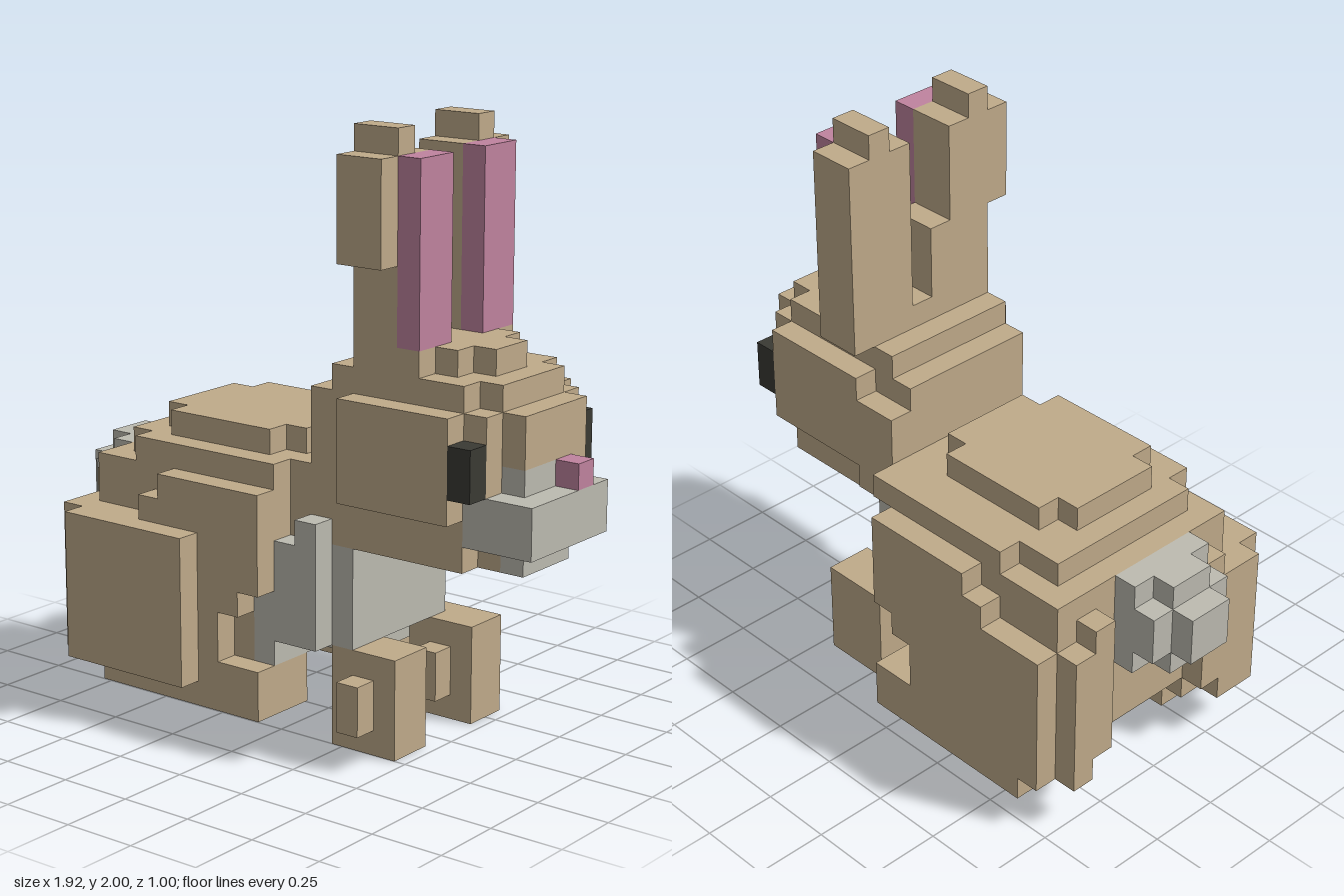
import * as THREE from 'three';
import { mergeGeometries } from 'three/addons/utils/BufferGeometryUtils.js';

const V = 1 / 12; // edge of one block

const flat = (name, color) => {
  const m = new THREE.MeshStandardMaterial({ color });
  m.name = name;
  return m;
};

// One block given by its limits in grid cells: x0, x1, y0, y1, z0, z1
function block([x0, x1, y0, y1, z0, z1]) {
  const g = new THREE.BoxGeometry((x1 - x0) * V, (y1 - y0) * V, (z1 - z0) * V);
  g.translate(((x0 + x1) / 2 - 11.5) * V, ((y0 + y1) / 2) * V, ((z0 + z1) / 2 - 6) * V);
  return g;
}

export function createModel() {
  const model = new THREE.Group();
  model.name = 'rabbit';
  const fur = flat('tan fur', 0xc0ab8a);
  const pale = flat('pale grey fur', 0xbdbbb1);
  const pink = flat('pink', 0xc0839f);
  const dark = flat('dark eye', 0x3a3a34);

  const part = (name, material, ...boxes) => {
    const mesh = new THREE.Mesh(mergeGeometries(boxes.map(block)), material);
    mesh.name = name;
    model.add(mesh);
  };

  // Trunk, stepped towards the top
  part('body', fur,
    [3, 11, 3, 10, 2, 9],
    [5, 10, 2, 3, 4, 7],
    [11, 12, 8, 10, 2, 10],
    [4, 12, 10, 11, 2, 9],
    [5, 12, 10, 11, 9, 10],
    [5, 12, 11, 12, 4, 8],
    [6, 11, 11, 12, 3, 9]);
  part('neck', fur,
    [12, 13, 8, 11, 2, 9],
    [13, 14, 8, 10, 3, 8],
    [6, 13, 10, 11, 1, 2]);

  // Haunches: an outer slab and an inner slab on each side, mirrored about z = 5.5
  for (const [name, m] of [['nearHaunch', true], ['farHaunch', false]]) {
    const b = (x0, x1, y0, y1, z0, z1) =>
      m ? [x0, x1, y0, y1, 11 - z1, 11 - z0] : [x0, x1, y0, y1, z0, z1];
    part(name, fur,
      b(3, 10, 2, 8, 0, 1),
      b(10, 11, 5, 8, 0, 1),
      b(11, 12, 6, 8, 0, 1),
      b(6, 12, 8, 9, 0, 1),
      b(7, 12, 9, 10, 0, 1),
      b(2, 3, 2, 8, 1, 2),
      b(2, 3, 3, 9, 2, 3),
      b(3, 11, 2, 10, 1, 2),
      b(11, 12, 6, 10, 1, 2),
      b(3, 10, 2, 4, 2, 3));
    part(m ? 'nearHindFoot' : 'farHindFoot', fur, b(4, 12, 1, 3, 0, 3));
  }
  part('nearThighPanel', fur, [3, 9, 2, 8, 11, 12], [2, 3, 2, 8, 10, 11]);

  // Pale chest
  part('chest', pale,
    [11, 14, 4, 8, 2, 10],
    [14, 15, 4, 8, 3, 9],
    [11, 12, 3, 4, 2, 10],
    [12, 14, 3, 4, 4, 7],
    [13, 14, 8, 9, 8, 10]);

  // Tail
  part('tail', pale,
    [1, 3, 7, 9, 4, 8],
    [1, 3, 6, 10, 5, 7],
    [2, 3, 6, 10, 4, 8],
    [0, 1, 7, 9, 5, 7]);

  // Front paws with a small side bump
  part('nearFrontPaw', fur, [14, 17, 0, 4, 7, 9], [15, 16, 1, 3, 9, 10]);
  part('farFrontPaw', fur, [14, 17, 0, 4, 2, 4], [15, 16, 1, 3, 4, 5]);

  // Head, a stepped dome
  part('head', fur,
    [14, 20, 8, 9, 3, 9],
    [20, 21, 8, 9, 4, 8],
    [13, 20, 9, 14, 3, 9],
    [20, 21, 9, 11, 3, 4],
    [20, 21, 11, 14, 3, 9],
    [21, 22, 11, 12, 4, 6],
    [21, 22, 12, 14, 4, 8],
    [14, 20, 14, 15, 3, 9],
    [20, 21, 14, 15, 4, 8],
    [15, 18, 15, 16, 3, 9],
    [18, 19, 15, 16, 4, 8],
    [19, 20, 15, 16, 5, 7]);
  part('nearCheek', fur, [15, 20, 10, 14, 9, 10]);
  part('farCheek', fur, [15, 20, 10, 14, 2, 3], [13, 15, 9, 13, 2, 3]);

  // Face details
  part('muzzle', pale, [20, 23, 9, 11, 4, 9], [21, 22, 8, 9, 5, 8], [21, 22, 11, 12, 6, 8]);
  part('nose', pink, [22, 23, 11, 12, 5, 6]);
  part('nearEye', dark, [20, 21, 11, 13, 9, 10]);
  part('farEye', dark, [20, 21, 11, 13, 2, 3]);

  // Ears; the near one leans outwards halfway up
  part('nearEar', fur, [15, 17, 15, 19, 6, 9], [15, 17, 19, 23, 7, 10], [15, 17, 23, 24, 8, 9]);
  part('farEar', fur, [15, 17, 15, 23, 2, 5], [15, 17, 23, 24, 3, 4]);
  part('nearInnerEar', pink, [17, 18, 16, 23, 7, 9]);
  part('farInnerEar', pink, [17, 18, 16, 23, 3, 5]);

  return model;
}
